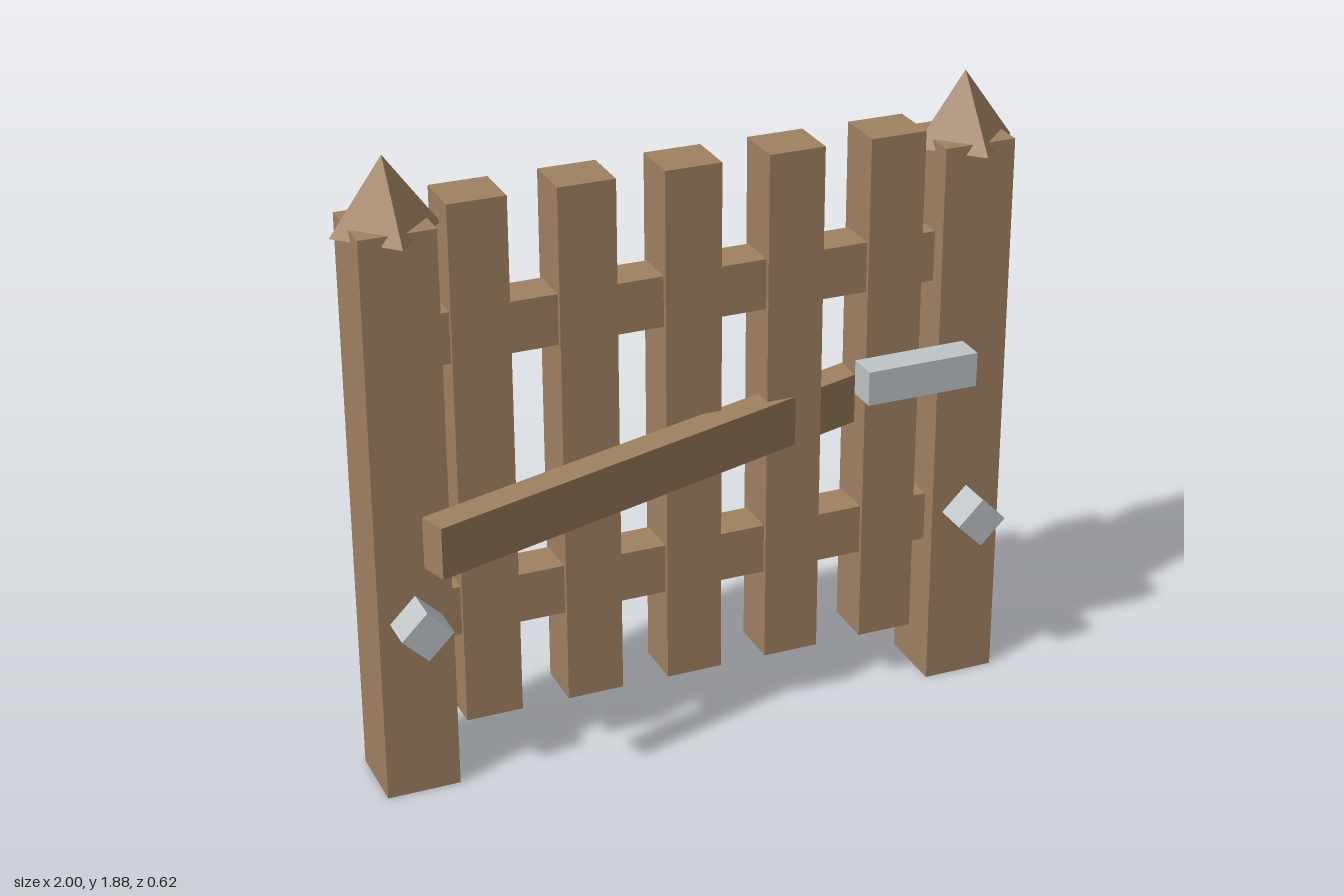
import * as THREE from 'three';

export function createModel() {
  const wood = new THREE.MeshStandardMaterial({ color: 0xa18262 });
  wood.name = 'wood';
  const metal = new THREE.MeshStandardMaterial({ color: 0xc0c5c8 });
  metal.name = 'metal';

  const gate = new THREE.Group();
  gate.name = 'woodenGate';

  function add(name, geometry, material, x, y, z) {
    const mesh = new THREE.Mesh(geometry, material);
    mesh.name = name;
    mesh.position.set(x, y, z);
    gate.add(mesh);
    return mesh;
  }
  const box = (w, h, d) => new THREE.BoxGeometry(w, h, d);
  const Z = -0.122; // plane of the fence

  // End posts with pointed caps and diamond-set studs
  const capGeometry = new THREE.ConeGeometry(0.152, 0.21, 4).toNonIndexed();
  capGeometry.computeVertexNormals();
  for (const side of [-1, 1]) {
    const label = side > 0 ? 'left' : 'right';
    const x = side * 0.847;
    add(label + 'Post', box(0.215, 1.693, 0.215), wood, x, 0.8465, Z);
    add(label + 'PostCap', capGeometry, wood, x, 1.77, Z);
    const stud = add(label + 'Stud', box(0.106, 0.106, 0.112), metal, x, 0.555, 0.036);
    stud.rotation.z = Math.PI / 4;
  }

  // Upright pickets
  for (let i = -2; i <= 2; i++) {
    add('picket', box(0.167, 1.565, 0.152), wood, -0.003 + i * 0.307, 0.9575, -0.127);
  }

  // Lower and upper rails, running into the posts
  for (const y of [0.525, 1.355]) {
    add('rail', box(1.55, 0.15, 0.122), wood, 0, y, -0.126);
  }

  // Slanted bar passing through the pickets
  const bar = add('slantedBar', box(1.84, 0.15, 0.085), wood, 0, 0.925, 0);
  bar.rotation.y = 0.3;

  // Latch block in front of the left side
  add('latch', box(0.337, 0.102, 0.09), metal, 0.613, 1.08, 0.093);

  return gate;
}
